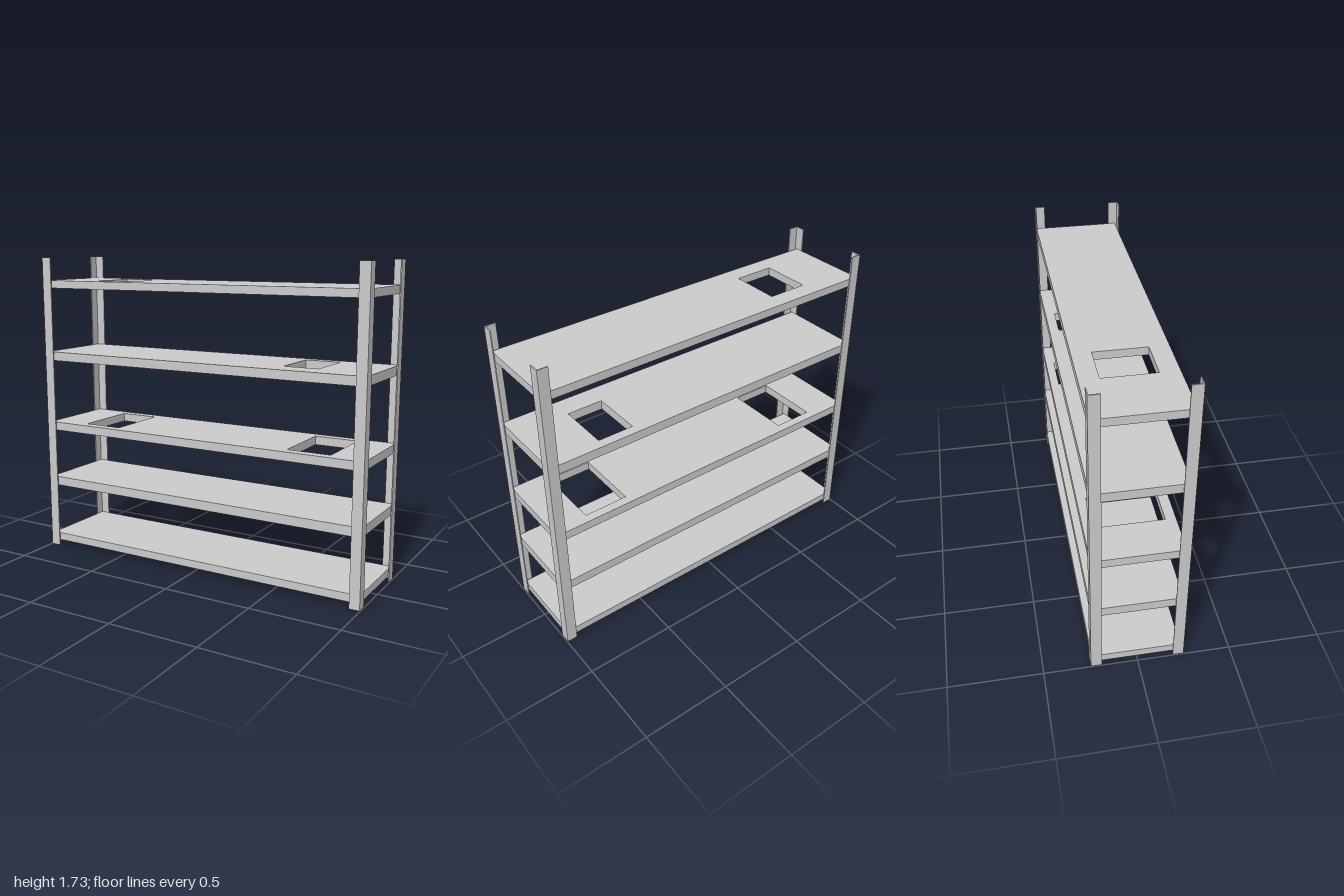
import * as THREE from 'three';

const material = new THREE.MeshStandardMaterial({ color: 0xcccccc });

// Rectangle in plan, given as x and z limits; traced with y = -z
function trace(path, [x0, x1, z0, z1]) {
  path.moveTo(x0, -z1);
  path.lineTo(x1, -z1);
  path.lineTo(x1, -z0);
  path.lineTo(x0, -z0);
  path.closePath();
  return path;
}

// Extrudes a plan outline upward from y = bottom
function upright(shape, bottom, height, name) {
  const geometry = new THREE.ExtrudeGeometry(shape, { depth: height, bevelEnabled: false });
  geometry.rotateX(-Math.PI / 2);
  const mesh = new THREE.Mesh(geometry, material);
  mesh.position.y = bottom;
  mesh.name = name;
  return mesh;
}

export function createModel() {
  const group = new THREE.Group();
  group.name = 'shelvingRack';

  // Shelf boards, some with rectangular cut-outs
  const board = [-0.99, 0.987, -0.245, 0.23];
  const shelves = [
    { bottom: 0.028, top: 0.072, holes: [] },
    { bottom: 0.375, top: 0.427, holes: [] },
    { bottom: 0.715, top: 0.763, holes: [[-0.76, -0.53, -0.195, 0.175], [0.545, 0.79, -0.195, 0.175]] },
    { bottom: 1.133, top: 1.184, holes: [[0.48, 0.68, -0.19, 0.1]] },
    { bottom: 1.556, top: 1.6, holes: [[-0.685, -0.46, -0.145, 0.13]] },
  ];
  shelves.forEach(({ bottom, top, holes }, i) => {
    const shape = trace(new THREE.Shape(), board);
    shape.holes = holes.map((h) => trace(new THREE.Path(), h));
    group.add(upright(shape, bottom, top - bottom, `shelf${i + 1}`));
  });

  // Angle-section posts wrapping the four corners
  const X = 0.997, Z = 0.25, w = 0.058, t = 0.006;
  for (const sx of [-1, 1]) {
    for (const sz of [-1, 1]) {
      const outline = [[X, Z], [X - w, Z], [X - w, Z - t], [X - t, Z - t], [X - t, Z - w], [X, Z - w]];
      const shape = new THREE.Shape(outline.map(([x, z]) => new THREE.Vector2(sx * x, -sz * z)));
      const name = `${sz > 0 ? 'front' : 'back'}${sx > 0 ? 'Left' : 'Right'}Post`;
      group.add(upright(shape, 0, 1.73, name));
    }
  }
  return group;
}
